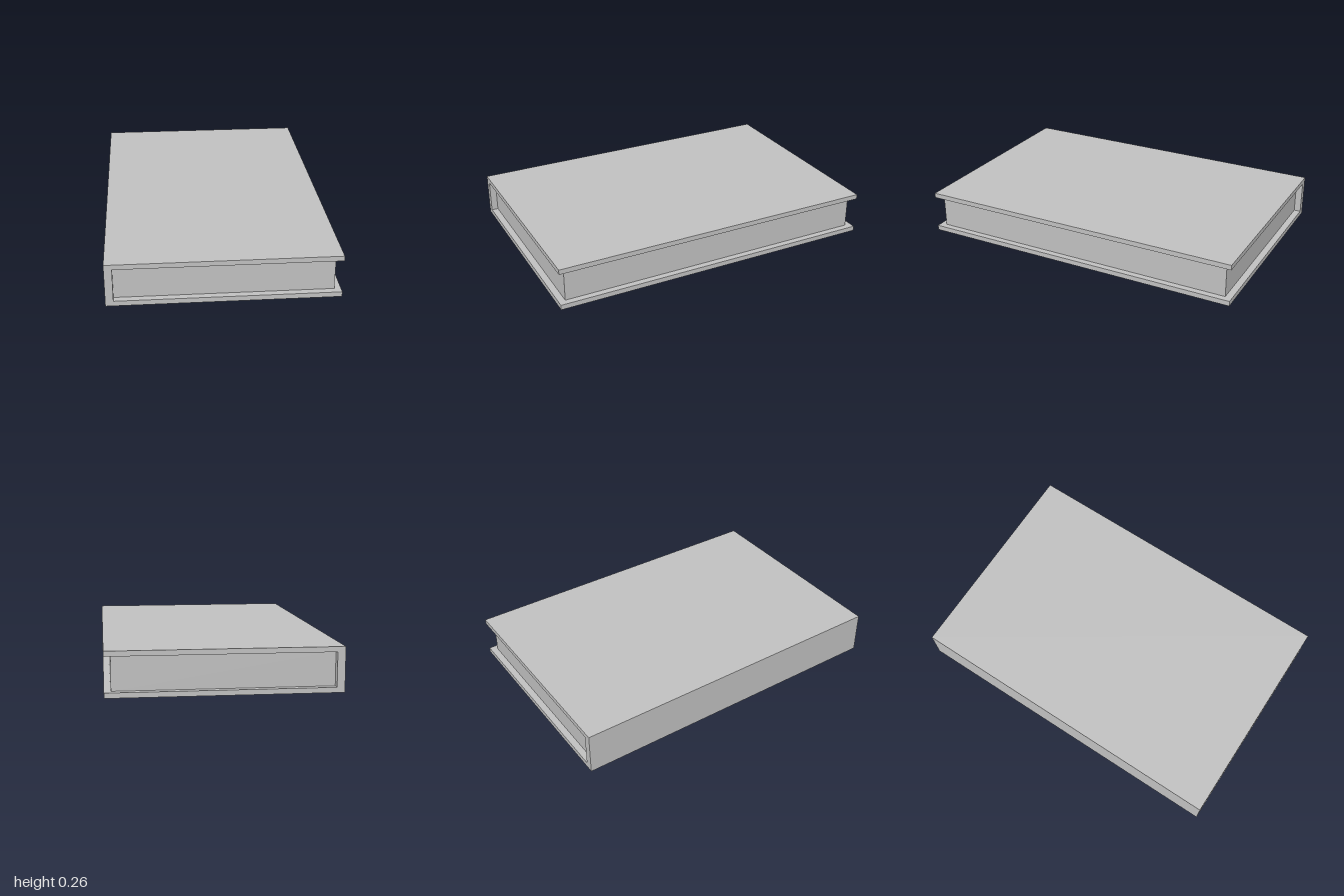
import * as THREE from 'three';

export function createModel() {
  const model = new THREE.Group();
  model.name = 'book';
  const grey = new THREE.MeshStandardMaterial({ color: 0xc0c0c0 });
  grey.name = 'light grey';

  const halfWidth = 0.66, height = 0.257, length = 2;
  const board = 0.03, spine = 0.045;
  const inner = -halfWidth + spine;

  // Cover: C-shaped section (two boards and the spine) run along z
  const section = new THREE.Shape([
    [-halfWidth, 0], [halfWidth, 0], [halfWidth, board], [inner, board],
    [inner, height - board], [halfWidth, height - board],
    [halfWidth, height], [-halfWidth, height],
  ].map(([x, y]) => new THREE.Vector2(x, y)));
  const coverGeometry = new THREE.ExtrudeGeometry(section, { depth: length, bevelEnabled: false });
  coverGeometry.translate(0, 0, -length / 2);
  const cover = new THREE.Mesh(coverGeometry, grey);
  cover.name = 'cover';

  // Page block, set back from the three open edges
  const pageEdge = 0.622;
  const pages = new THREE.Mesh(
    new THREE.BoxGeometry(pageEdge - inner, height - 2 * board, 1.92), grey);
  pages.name = 'pages';
  pages.position.set((pageEdge + inner) / 2, height / 2, 0);

  model.add(cover, pages);
  return model;
}
